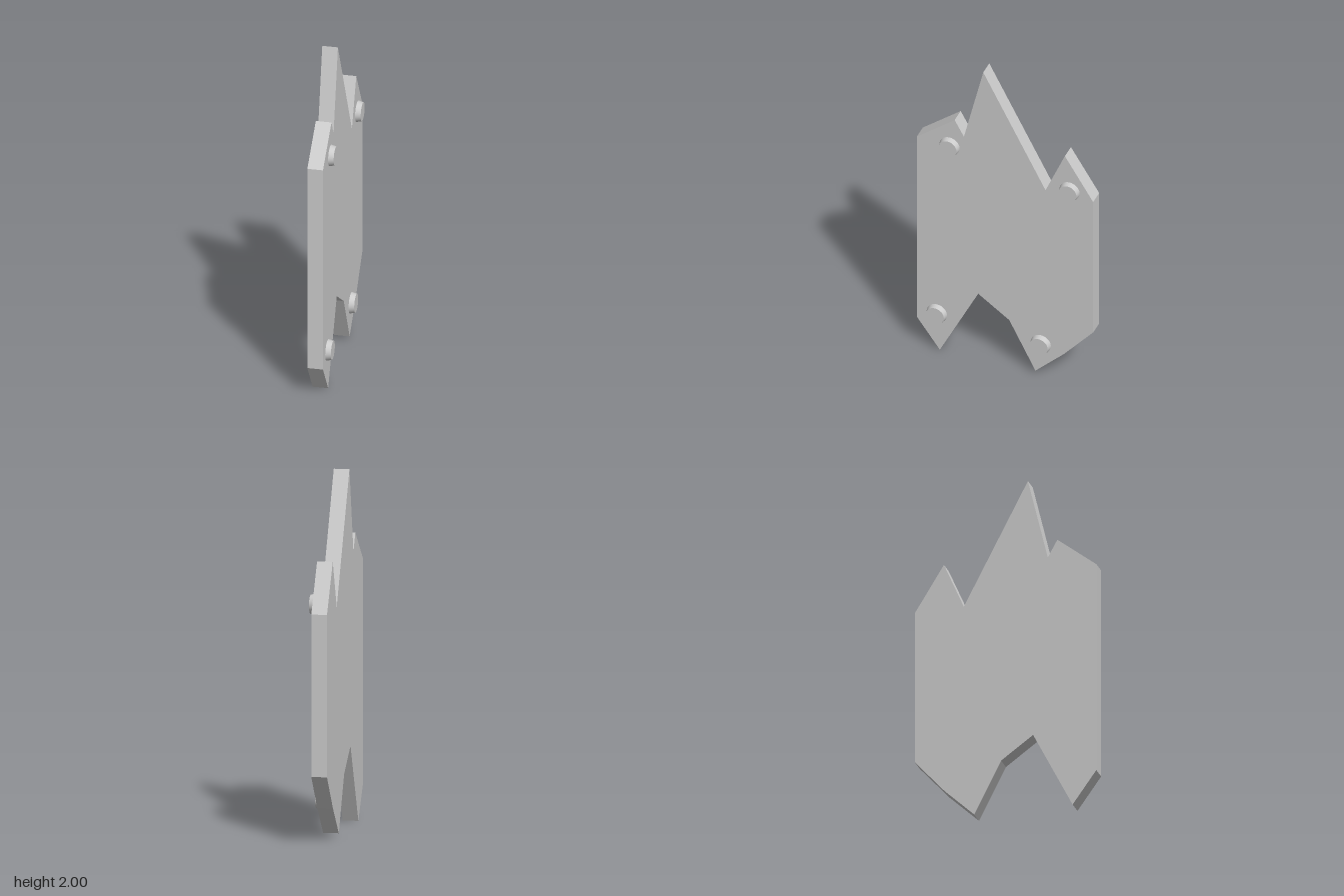
import * as THREE from 'three';

// Outline of the plate as [z, y]
const OUTLINE = [
  [0.525, 1.44], [0.3, 1.62], [0.245, 1.52], [0.13, 2], [-0.24, 1.29],
  [-0.355, 1.56], [-0.523, 1.29], [-0.523, 0.385], [-0.35, 0.185], [-0.18, 0.02],
  [-0.025, 0.325], [0.16, 0.455], [0.388, 0], [0.525, 0.19],
];
// Stud centres as [z, y]
const STUDS = [[0.33, 1.43], [-0.383, 1.325], [0.405, 0.25], [-0.212, 0.215]];
const BACK = -0.06, FACE = 0.028, STUD_HEIGHT = 0.03;

export function createModel() {
  const model = new THREE.Group();
  model.name = 'jaggedPlate';
  const material = new THREE.MeshStandardMaterial({ color: 0xcccccc });

  // Flat jagged plate, extruded along x
  const shape = new THREE.Shape(OUTLINE.map(([z, y]) => new THREE.Vector2(-z, y)));
  const plateGeometry = new THREE.ExtrudeGeometry(shape, { depth: FACE - BACK, bevelEnabled: false });
  plateGeometry.rotateY(Math.PI / 2).translate(BACK, 0, 0);
  const plate = new THREE.Mesh(plateGeometry, material);
  plate.name = 'plate';
  model.add(plate);

  // Slightly tapered round studs on the +x face
  const studGeometry = new THREE.CylinderGeometry(0.053, 0.06, STUD_HEIGHT, 32).rotateZ(-Math.PI / 2);
  STUDS.forEach(([z, y], i) => {
    const stud = new THREE.Mesh(studGeometry, material);
    stud.name = `stud${i + 1}`;
    stud.position.set(FACE + STUD_HEIGHT / 2, y, z);
    model.add(stud);
  });

  return model;
}
